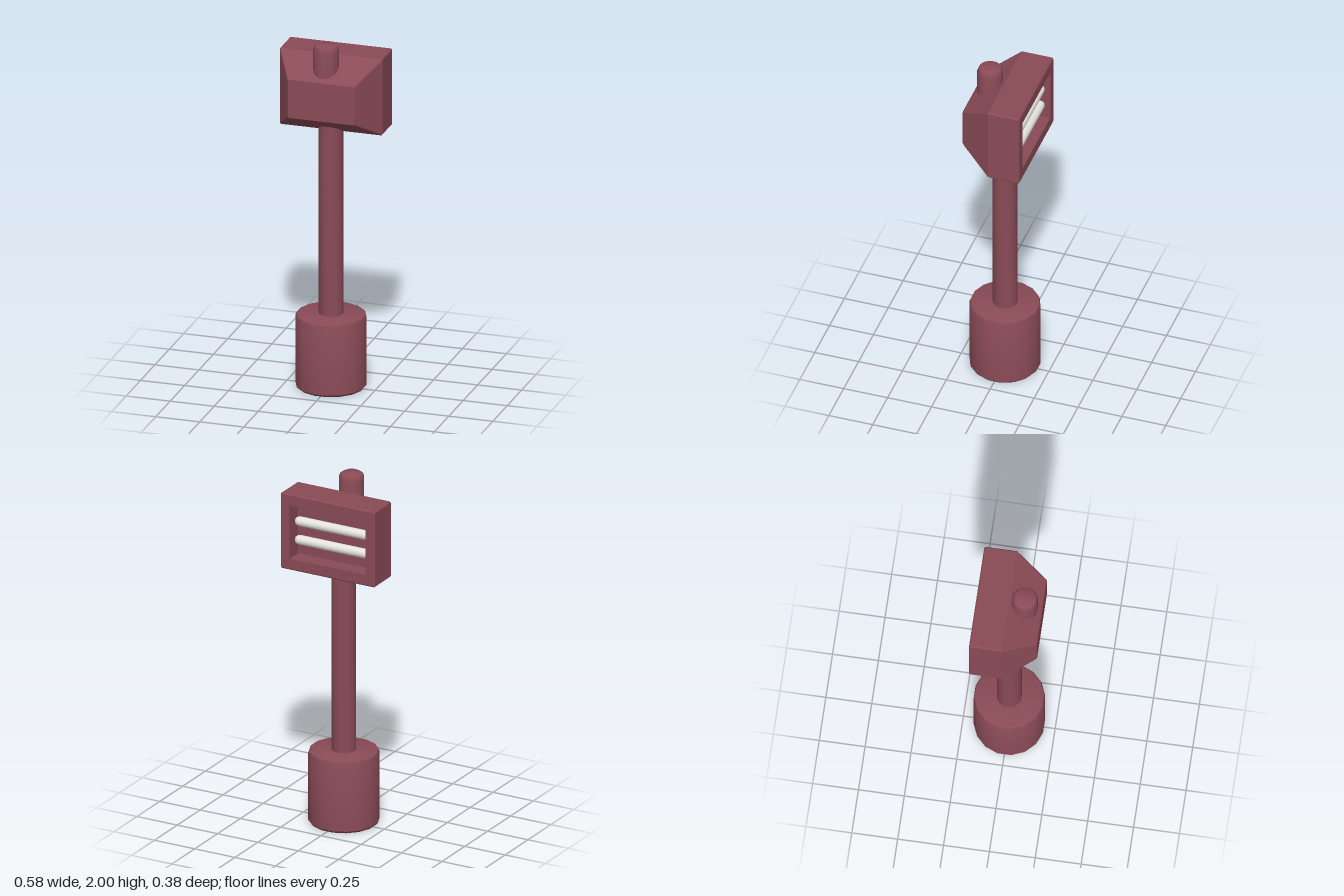
import * as THREE from 'three';
import { toCreasedNormals } from 'three/addons/utils/BufferGeometryUtils.js';

// Faceted column turned from [radius, y] points, with flats facing the axes
function turned(points, sides) {
  const profile = points.map(([r, y]) => new THREE.Vector2(r, y));
  const geo = new THREE.LatheGeometry(profile, sides, Math.PI / sides);
  return toCreasedNormals(geo, 0.6);
}

// Skin through rectangular rings [halfWidth, halfHeight, z, corner chamfer]
function ringSkin(rings) {
  const pos = [], index = [], n = 8;
  for (const [w, h, z, c] of rings) {
    const corners = [
      [w, -h + c], [w, h - c], [w - c, h], [-w + c, h],
      [-w, h - c], [-w, -h + c], [-w + c, -h], [w - c, -h],
    ];
    for (const [x, y] of corners) pos.push(x, y, z);
  }
  for (let r = 0; r < rings.length - 1; r++) {
    for (let i = 0; i < n; i++) {
      const a = r * n + i, b = r * n + (i + 1) % n;
      index.push(a, b, b + n, a, b + n, a + n);
    }
  }
  const indexed = new THREE.BufferGeometry();
  indexed.setAttribute('position', new THREE.Float32BufferAttribute(pos, 3));
  indexed.setIndex(index);
  const geo = indexed.toNonIndexed();
  geo.computeVertexNormals();
  return geo;
}

export function createModel() {
  const model = new THREE.Group();
  model.name = 'lampPost';

  const maroon = new THREE.MeshStandardMaterial({ color: 0x8a4b56, side: THREE.DoubleSide });
  maroon.name = 'maroon paint';
  const white = new THREE.MeshStandardMaterial({ color: 0xe6e4dd });
  white.name = 'tube white';

  const add = (name, geo, material, x = 0, y = 0, z = 0) => {
    const mesh = new THREE.Mesh(geo, material);
    mesh.name = name;
    mesh.position.set(x, y, z);
    model.add(mesh);
    return mesh;
  };

  // Base drum, open underneath
  add('base', turned([
    [0.183, 0], [0.193, 0.012], [0.193, 0.402], [0.188, 0.414], [0.175, 0.42], [0, 0.42],
  ], 16), maroon);

  // Pole up into the head
  add('pole', turned([[0.068, 0.41], [0.068, 1.6], [0, 1.6]], 12), maroon);

  // Stub rising through the sloping front of the head
  add('topStub', turned([
    [0, 1.75], [0.07, 1.75], [0.07, 1.972], [0.063, 1.99], [0.047, 2], [0, 2],
  ], 12), maroon, 0, 0, 0.085);

  // Head: recess floor, recess walls, back rim, straight box, tapered front
  const headY = 1.695;
  add('head', ringSkin([
    [0, 0, -0.085, 0],
    [0.235, 0.155, -0.085, 0],
    [0.235, 0.155, -0.178, 0],
    [0.285, 0.214, -0.178, 0.006],
    [0.291, 0.22, -0.172, 0.006],
    [0.291, 0.22, 0, 0.006],
    [0.195, 0.118, 0.168, 0.006],
    [0.187, 0.11, 0.178, 0.006],
    [0, 0, 0.178, 0],
  ]), maroon, 0, headY, 0);

  // Two lamp tubes across the recess
  for (const side of [1, -1]) {
    const tube = add(side > 0 ? 'upperTube' : 'lowerTube',
      new THREE.CapsuleGeometry(0.027, 0.4, 5, 14), white, 0, headY + side * 0.054, -0.13);
    tube.rotation.z = Math.PI / 2;
  }

  return model;
}
